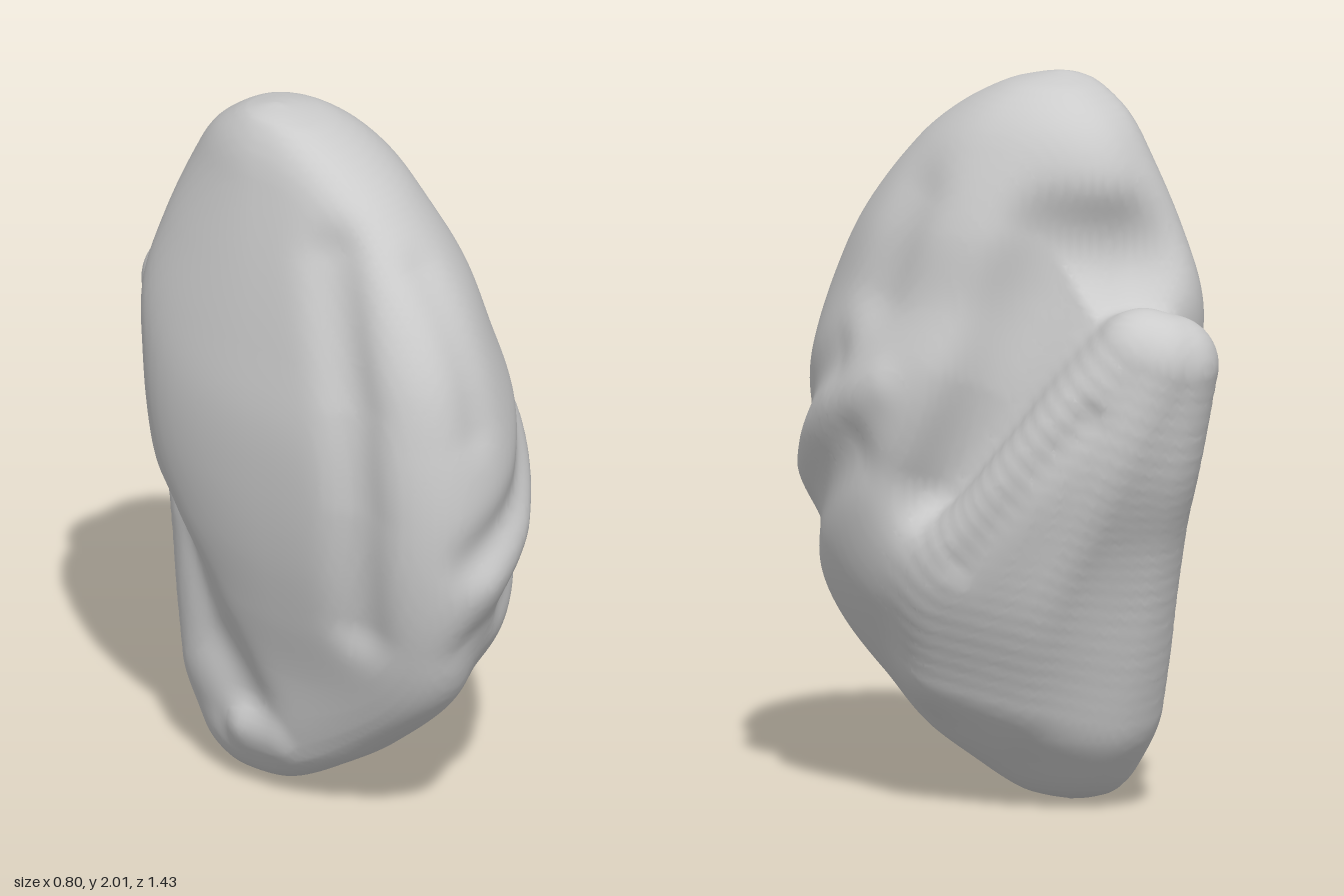
import * as THREE from 'three';

// Body sections from bottom to top: y, right x, left x, back z, front z, backward bend
const SECTIONS = [
  [0, -.11, -.09, -.14, -.10, 0], [.01, -.15, -.04, -.2, -.03, 0], [.03, -.19, .02, -.26, .04, 0],
  [.1, -.24, .1, -.33, .17, 0], [.2, -.26, .18, -.38, .33, 0], [.4, -.29, .25, -.41, .56, 0],
  [.6, -.34, .33, -.42, .66, .04], [.8, -.38, .37, -.45, .7, .1], [1, -.4, .385, -.46, .705, .16],
  [1.2, -.4, .37, -.48, .68, .16], [1.4, -.37, .31, -.5, .63, .13], [1.6, -.33, .27, -.46, .52, .08],
  [1.8, -.28, .185, -.37, .35, .02], [1.9, -.25, .12, -.3, .22, 0], [1.97, -.21, .03, -.2, .08, 0],
  [1.99, -.18, -.04, -.14, 0, 0], [2, -.13, -.11, -.1, -.06, 0],
];

// Smooth interpolation of the section values at a height
function sectionAt(y) {
  const S = SECTIONS, last = S.length - 1;
  let i = 0;
  while (i < last - 1 && y > S[i + 1][0]) i++;
  const a = S[i], b = S[i + 1], p = S[Math.max(i - 1, 0)], n = S[Math.min(i + 2, last)];
  const h = b[0] - a[0], t = (y - a[0]) / h, t2 = t * t, t3 = t2 * t;
  return [1, 2, 3, 4, 5].map((k) => {
    const ma = (b[k] - p[k]) / (b[0] - p[0]) * h, mb = (n[k] - a[k]) / (n[0] - a[0]) * h;
    return (2 * t3 - 3 * t2 + 1) * a[k] + (t3 - 2 * t2 + t) * ma + (3 * t2 - 2 * t3) * b[k] + (t3 - t2) * mb;
  });
}

// Distance to a segment
function segment(x, y, z, a, b) {
  const dx = b[0] - a[0], dy = b[1] - a[1], dz = b[2] - a[2];
  let t = ((x - a[0]) * dx + (y - a[1]) * dy + (z - a[2]) * dz) / (dx * dx + dy * dy + dz * dz);
  t = Math.min(1, Math.max(0, t));
  const ex = x - a[0] - dx * t, ey = y - a[1] - dy * t, ez = z - a[2] - dz * t;
  return Math.sqrt(ex * ex + ey * ey + ez * ez);
}

function smoothMin(a, b, k) {
  const h = Math.max(k - Math.abs(a - b), 0) / k;
  return Math.min(a, b) - h * h * k / 4;
}

// Furrow (positive depth) or ridge (negative depth) along a path
function furrow(x, y, z, { path, width, depth }) {
  let d = Infinity;
  for (let i = 1; i < path.length; i++) d = Math.min(d, segment(x, y, z, path[i - 1], path[i]));
  return depth * Math.exp(-((d / width) ** 2));
}

const BODY_FOLDS = [
  // hollow between the body and the back lobe
  { path: [[.28, .88, .01], [.27, 1.15, -.13], [.23, 1.38, -.21], [.19, 1.56, -.27], [.06, 1.54, -.4]], width: .13, depth: .13 },
  // diagonal front ridge with a furrow on each side
  { path: [[-.1, .8, .68], [.1, .88, .63], [.3, 1.08, .4], [.38, 1.17, .2]], width: .07, depth: -.018 },
  { path: [[-.15, .88, .72], [.08, 1, .63], [.27, 1.22, .4]], width: .08, depth: .022 },
  { path: [[.06, .68, .62], [.2, .8, .53], [.36, .97, .3]], width: .09, depth: .032 },
  // lower front furrow, long side crease, upper dents
  { path: [[-.1, .6, .64], [0, .48, .55], [.06, .3, .38]], width: .09, depth: .02 },
  { path: [[-.3, 1.7, .28], [-.36, 1.3, .42], [-.37, 1, .45], [-.33, .65, .42]], width: .08, depth: .035 },
  { path: [[-.12, 1.65, .45], [-.12, 1.25, .66]], width: .07, depth: .01 },
  { path: [[.24, 1.68, .18], [.29, 1.42, .25]], width: .1, depth: .03 },
  // crease under the body on its right side
  { path: [[-.04, .9, -.46], [-.22, .76, -.34], [-.3, .47, -.2], [-.27, .28, -.06]], width: .09, depth: .035 },
];
const LOBE_FOLD = { path: [[.39, .7, -.1], [.38, .93, -.3], [.29, 1.13, -.46]], width: .045, depth: .02 };

// Back lobe: a bowed sheet of rungs between its back edge and its upper edge
const curve = (points) => new THREE.CatmullRomCurve3(points.map((p) => new THREE.Vector3(...p)));
const BACK_EDGE = curve([[.08, 1.26, -.575], [.07, 1, -.51], [.03, .8, -.43], [-.01, .55, -.35], [-.06, .3, -.26]]);
const UPPER_EDGE = curve([[.13, 1.28, -.53], [.21, 1.05, -.36], [.25, .83, -.18], [.25, .64, 0], [.16, .4, .08]]);
const RUNGS = [];
for (let i = 0; i <= 24; i++) {
  const a = BACK_EDGE.getPoint(i / 24), b = UPPER_EDGE.getPoint(i / 24);
  const bow = .13 * a.distanceTo(b);
  const m = a.clone().lerp(b, .5).add(new THREE.Vector3(bow, 0, -bow));
  RUNGS.push([a.toArray(), m.toArray()], [m.toArray(), b.toArray()]);
}

// Solid field, negative inside
function field(x, y, z) {
  const yc = Math.min(2, Math.max(0, y));
  const [x0, x1, z0, z1, backBend] = sectionAt(yc);
  const hx = Math.max((x1 - x0) / 2, .008), hz = Math.max((z1 - z0) / 2, .008);
  const v = (z - (z0 + z1) / 2) / hz;
  const bend = (v > 0 ? .2 : backBend) * hz * Math.min(v * v, 2);
  const u = (x - (x0 + x1) / 2 + bend) / hx;
  const power = v > 0 ? 2.1 : 2.1 + .2 * Math.min(v * v, 1);
  let body = (Math.pow(Math.abs(u) ** power + Math.abs(v) ** power, 1 / power) - 1) * hx + Math.abs(y - yc);
  for (const f of BODY_FOLDS) body += furrow(x, y, z, f);

  let lobe = 1;
  for (const [a, b] of RUNGS) lobe = Math.min(lobe, segment(x, y, z, a, b));
  lobe += furrow(x, y, z, LOBE_FOLD) - .138;
  const nub = segment(x, y, z, [-.2, .18, -.08], [-.19, .18, .03]) - .07;
  return smoothMin(smoothMin(body, lobe, .09), nub, .04);
}

// Skin the field with one vertex per crossed cell
function skin(min, counts, step) {
  const [nx, ny, nz] = counts, stride = [1, nx, nx * ny];
  const values = new Float32Array(nx * ny * nz);
  const at = (i, j, k) => i + nx * (j + ny * k);
  for (let k = 0; k < nz; k++) for (let j = 0; j < ny; j++) for (let i = 0; i < nx; i++)
    values[at(i, j, k)] = field(min[0] + i * step, min[1] + j * step, min[2] + k * step);

  const positions = [], indices = [], ids = new Map();
  function vertex(id) {
    if (ids.has(id)) return ids.get(id);
    const base = [id % nx, Math.floor(id / nx) % ny, Math.floor(id / (nx * ny))];
    const sum = [0, 0, 0];
    let n = 0;
    for (let c = 0; c < 8; c++) for (let a = 0; a < 3; a++) {
      if (c & (1 << a)) continue;
      const o = [c & 1, (c >> 1) & 1, (c >> 2) & 1];
      const p = id + o[0] + o[1] * nx + o[2] * nx * ny;
      const f0 = values[p], f1 = values[p + stride[a]];
      if ((f0 < 0) === (f1 < 0)) continue;
      o[a] += f0 / (f0 - f1);
      for (let q = 0; q < 3; q++) sum[q] += o[q];
      n++;
    }
    const P = sum.map((s, q) => min[q] + (base[q] + s / n) * step);
    // settle the vertex onto the surface
    const e = .004, f = field(...P);
    const g = [0, 1, 2].map((q) => {
      const A = [...P], B = [...P];
      A[q] += e; B[q] -= e;
      return (field(...A) - field(...B)) / (2 * e);
    });
    const len2 = g[0] * g[0] + g[1] * g[1] + g[2] * g[2] + 1e-6;
    const move = Math.min(1, step * .4 / (Math.abs(f) / Math.sqrt(len2) + 1e-9));
    positions.push(...P.map((p, q) => p - g[q] * f / len2 * move));
    ids.set(id, ids.size);
    return ids.size - 1;
  }

  for (let k = 1; k < nz - 1; k++) for (let j = 1; j < ny - 1; j++) for (let i = 1; i < nx - 1; i++) {
    const p = at(i, j, k);
    for (let a = 0; a < 3; a++) {
      const inside = values[p] < 0;
      if (inside === (values[p + stride[a]] < 0)) continue;
      const b = stride[(a + 1) % 3], c = stride[(a + 2) % 3];
      const q = [p, p - b, p - b - c, p - c].map(vertex);
      if (!inside) q.reverse();
      indices.push(q[0], q[1], q[2], q[0], q[2], q[3]);
    }
  }
  const geometry = new THREE.BufferGeometry();
  geometry.setAttribute('position', new THREE.Float32BufferAttribute(positions, 3));
  geometry.setIndex(indices);
  geometry.computeVertexNormals();
  return geometry;
}

export function createModel() {
  const group = new THREE.Group();
  group.name = 'foldedPebble';
  const mesh = new THREE.Mesh(
    skin([-.55, -.1, -.85], [56, 111, 86], .02),
    new THREE.MeshStandardMaterial({ color: 0xcccccc }),
  );
  mesh.name = 'foldedBody';
  group.add(mesh);
  return group;
}
